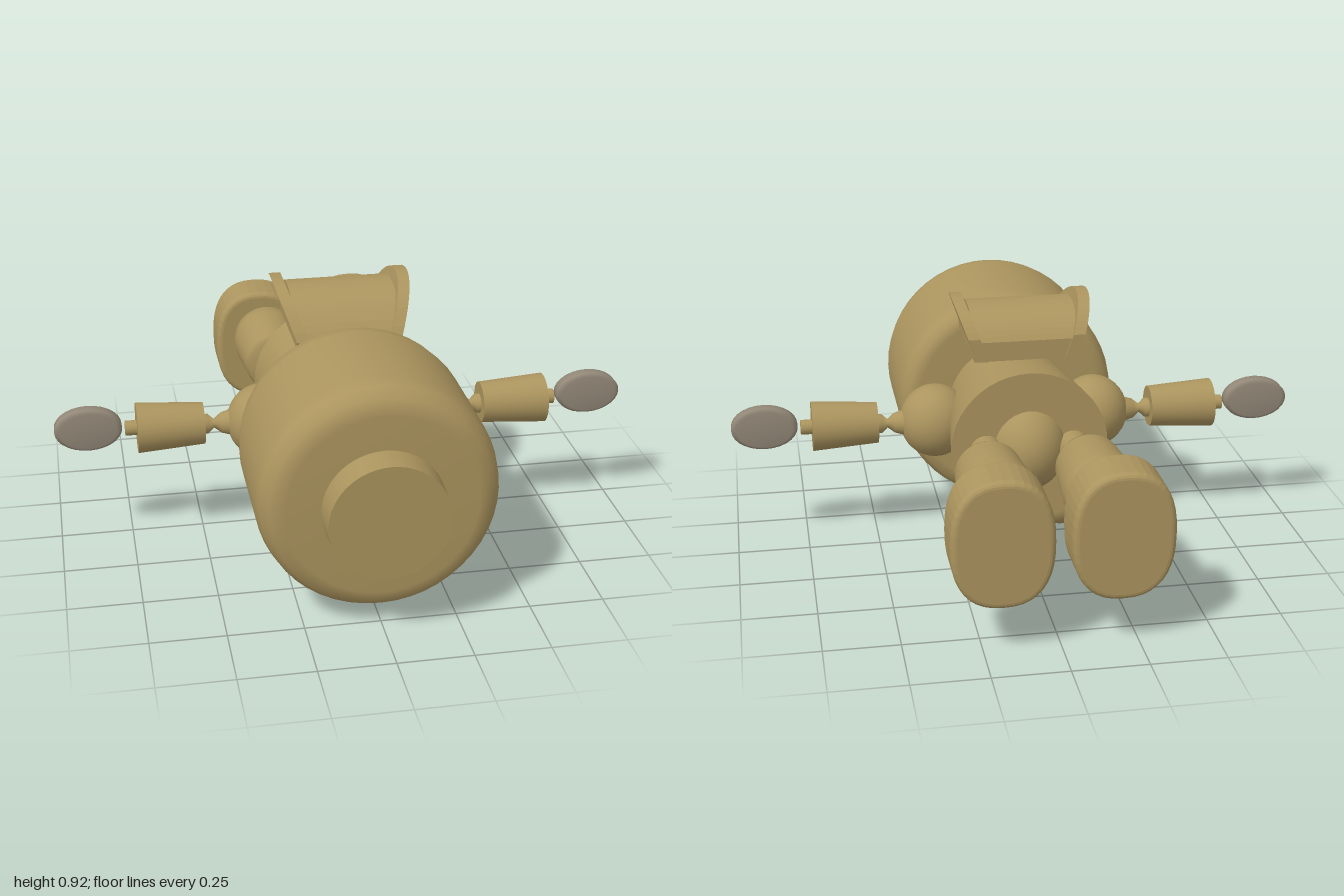
import * as THREE from 'three';

const gold = new THREE.MeshStandardMaterial({ color: 0xab945e });
gold.name = 'gold';
const grey = new THREE.MeshStandardMaterial({ color: 0x938878 });
grey.name = 'grey';
const blue = new THREE.MeshStandardMaterial({ color: 0x45697c, side: THREE.DoubleSide });
blue.name = 'blue';

const CY = 0.435; // height of the body axis

export function createModel() {
  const root = new THREE.Group();
  root.name = 'lyingFigure';

  const add = (name, geo, mat = gold, x = 0, y = 0, z = 0) => {
    const m = new THREE.Mesh(geo, mat);
    m.name = name;
    m.position.set(x, y, z);
    root.add(m);
    return m;
  };
  const lathe = (pts, seg = 48) =>
    new THREE.LatheGeometry(pts.map(p => new THREE.Vector2(p[0], p[1])), seg);
  // Profiles are [radius, distance along axis]
  const zLathe = (pts) => lathe(pts).rotateX(Math.PI / 2);
  const xLathe = (pts, s) => lathe(pts, 32).rotateZ(-s * Math.PI / 2);
  const zCyl = (rFront, rBack, len) =>
    new THREE.CylinderGeometry(rFront, rBack, len, 48).rotateX(Math.PI / 2);
  const ball = (rx, ry, rz) => new THREE.SphereGeometry(1, 32, 20).scale(rx, ry, rz);

  // Head with rounded rims, and the stud on its crown
  add('head', zLathe([[0, 0.2], [0.33, 0.2], [0.365, 0.21], [0.385, 0.24], [0.395, 0.3],
    [0.395, 0.67], [0.385, 0.72], [0.36, 0.76], [0.31, 0.78], [0, 0.78]]), gold, 0, CY, 0);
  add('headStud', zCyl(0.195, 0.2, 0.13), gold, 0, 0.43, 0.82);

  // Face, on the underside of the head
  add('muzzle', ball(0.18, 0.1, 0.13), gold, 0, 0.112, 0.32);
  add('mouth', ball(0.08, 0.015, 0.06), grey, 0, 0.015, 0.3);
  const patch = (name, s, a0, a1, z0, z1) => {
    const d = Math.PI / 180;
    const geo = new THREE.CylinderGeometry(0.399, 0.399, z1 - z0, 10, 1, true,
      (s > 0 ? a0 : -a1) * d, (a1 - a0) * d).rotateX(Math.PI / 2);
    add(name, geo, blue, 0, CY, (z0 + z1) / 2);
  };

  // Torso, widening toward the hips
  add('torso', zCyl(0.215, 0.27, 0.46), gold, 0, CY, -0.02);
  add('hipBall', ball(0.14, 0.16, 0.16), gold, 0, 0.425, -0.18);

  // Backpack: domed core with outward-leaning end plates
  const dome = (top, halfLen) => {
    const s = new THREE.Shape();
    s.moveTo(-halfLen + 0.01, 0.735);
    s.lineTo(halfLen, 0.735);
    s.lineTo(halfLen, 0.735 + (top - 0.735) * 0.38);
    s.bezierCurveTo(halfLen * 0.6, top + 0.01, -halfLen * 0.45, top + 0.03, -halfLen, 0.76);
    s.closePath();
    return s;
  };
  const extrudeX = (shape, x0, x1) =>
    new THREE.ExtrudeGeometry(shape, { depth: x1 - x0, bevelEnabled: false, curveSegments: 20 })
      .translate(0, 0, x0).rotateY(Math.PI / 2);
  add('backpackCore', extrudeX(dome(0.91, 0.195), -0.18, 0.18));
  const taperIn = (geo, s) => {
    const p = geo.attributes.position;
    for (let i = 0; i < p.count; i++) p.setX(i, p.getX(i) + s * (p.getY(i) - 0.735) * 0.36);
    geo.computeVertexNormals();
    return geo;
  };

  // Oval foot outline, slightly fuller than an ellipse
  const footShape = new THREE.Shape();
  for (let i = 0; i < 40; i++) {
    const a = i / 40 * Math.PI * 2, c = Math.cos(a), n = Math.sin(a);
    const x = 0.145 * Math.sign(c) * Math.abs(c) ** 0.8;
    const y = 0.195 * Math.sign(n) * Math.abs(n) ** 0.8;
    if (i) footShape.lineTo(x, y); else footShape.moveTo(x, y);
  }
  footShape.closePath();

  for (const s of [1, -1]) {
    const side = s > 0 ? 'left' : 'right';

    // Open eye outline: outer band, upper band and inner square
    patch(side + 'EyeOuter', s, 37, 46, 0.39, 0.62);
    patch(side + 'EyeUpper', s, 29, 40, 0.59, 0.67);
    patch(side + 'EyeInner', s, 15, 29, 0.37, 0.5);

    add(side + 'BackpackPlate',
      taperIn(extrudeX(dome(0.945, 0.2), s > 0 ? 0.13 : -0.17, s > 0 ? 0.17 : -0.13), s));

    // Knob on the chest side
    add(side + 'Knob', ball(0.082, 0.082, 0.082), gold, s * 0.13, 0.17, -0.115);

    // Arm: shoulder ball, narrow joint, forearm, wrist and flat hand
    add(side + 'Shoulder', ball(0.125, 0.13, 0.125), gold, s * 0.285, 0.43, 0.075);
    add(side + 'Elbow', xLathe([[0.05, 0.38], [0.035, 0.43], [0.015, 0.455],
      [0.034, 0.475], [0.034, 0.51]], s), gold, 0, 0.43, 0.07);
    add(side + 'Forearm', new THREE.CylinderGeometry(0.087, 0.072, 0.23, 32)
      .rotateZ(-s * Math.PI / 2), gold, s * 0.605, 0.435, 0.072);
    add(side + 'Wrist', new THREE.CylinderGeometry(0.026, 0.026, 0.07, 20)
      .rotateZ(Math.PI / 2), gold, s * 0.725, 0.435, 0.068);
    // Disc-like hand with rounded edge
    add(side + 'Hand', lathe([[0, -0.029], [0.085, -0.029], [0.1, -0.018], [0.1, 0.018],
      [0.085, 0.029], [0, 0.029]], 28).rotateX(Math.PI / 2).scale(1.15, 0.76, 1),
      grey, s * 0.885, 0.445, 0.067);

    // Leg: thin thigh, barrel calf and thick oval foot
    add(side + 'Thigh', zCyl(0.055, 0.055, 0.22), gold, s * 0.15, 0.435, -0.31);
    add(side + 'Calf', zLathe([[0, -0.73], [0.1, -0.725], [0.122, -0.68], [0.127, -0.62],
      [0.112, -0.42], [0.1, -0.39], [0, -0.385]]), gold, s * 0.168, 0.43, 0);
    const foot = new THREE.ExtrudeGeometry(footShape, {
      depth: 0.13, bevelEnabled: true, bevelThickness: 0.022, bevelSize: 0.02, bevelSegments: 4,
    });
    add(side + 'Foot', foot, gold, s * 0.19, 0.382, -0.863);
  }
  return root;
}
